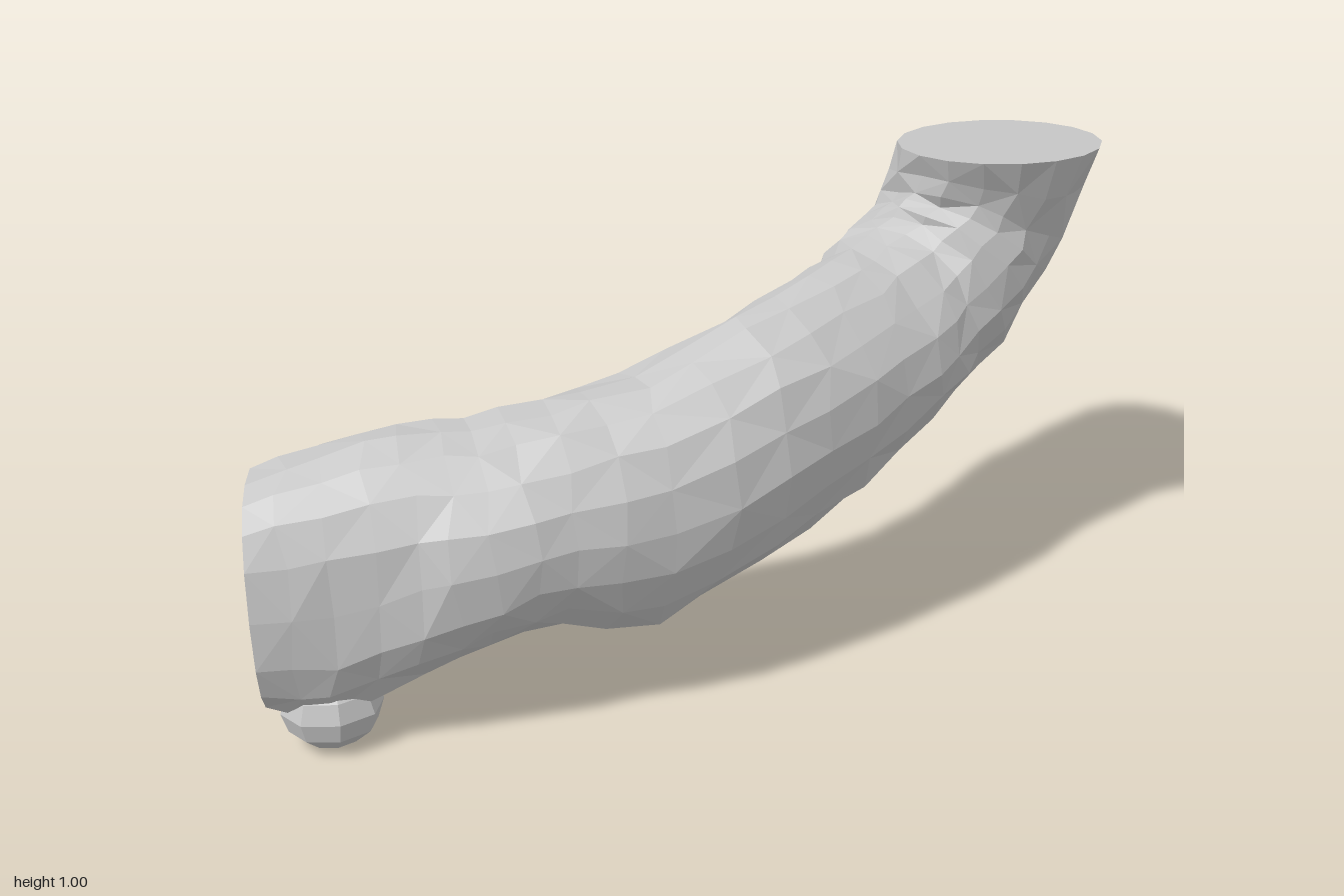
import * as THREE from 'three';

const SIDES = 18;

// Small seeded random numbers for the uneven, carved surface
function makeRandom(seed) {
  return () => {
    seed = (seed * 16807) % 2147483647;
    return seed / 2147483647 - 0.5;
  };
}

// Four rails along the limb; matching points form one cross-section
const topRail = [
  [-0.96, 0.53, 0.13], [-0.83, 0.58, 0.16], [-0.68, 0.61, 0.18], [-0.55, 0.61, 0.2],
  [-0.4, 0.63, 0.21], [-0.22, 0.66, 0.22], [0, 0.75, 0.21], [0.2, 0.79, 0.13],
  [0.35, 0.81, 0.03], [0.43, 0.84, -0.03], [0.48, 0.87, -0.02], [0.51, 0.91, -0.01], [0.49, 0.995, 0.03],
];
const bottomRail = [
  [-0.95, 0.07, 0.14], [-0.83, 0.05, 0.17], [-0.68, 0.11, 0.2], [-0.55, 0.16, 0.2],
  [-0.4, 0.18, 0.21], [-0.22, 0.14, 0.22], [0, 0.24, 0.18], [0.22, 0.31, 0.1],
  [0.42, 0.41, 0], [0.6, 0.48, -0.14], [0.74, 0.56, -0.24], [0.87, 0.76, -0.28], [0.99, 0.955, -0.32],
];
const frontRail = [
  [-1, 0.32, 0.33], [-0.86, 0.32, 0.355], [-0.7, 0.36, 0.39], [-0.56, 0.39, 0.425],
  [-0.4, 0.42, 0.435], [-0.2, 0.42, 0.42], [0.04, 0.48, 0.38], [0.25, 0.54, 0.31],
  [0.44, 0.59, 0.21], [0.57, 0.64, 0.13], [0.68, 0.71, 0.08], [0.76, 0.81, 0.065], [0.81, 0.99, 0.095],
];
const backRail = [
  [-0.91, 0.27, -0.1], [-0.78, 0.28, -0.06], [-0.66, 0.33, -0.025], [-0.54, 0.36, -0.015],
  [-0.4, 0.4, -0.01], [-0.22, 0.42, -0.01], [-0.02, 0.49, -0.01], [0.14, 0.56, -0.05],
  [0.28, 0.62, -0.13], [0.39, 0.67, -0.22], [0.5, 0.72, -0.305], [0.58, 0.8, -0.345], [0.67, 0.96, -0.385],
];

function makeRings() {
  const random = makeRandom(41);
  const rails = [frontRail, topRail, backRail, bottomRail].map(
    (rail) => new THREE.CatmullRomCurve3(rail.map((p) => new THREE.Vector3(...p)), false, 'catmullrom', 0.5));
  const steps = (topRail.length - 1) * 2;
  const rings = [];
  for (let i = 0; i <= steps; i++) {
    const [front, top, back, bottom] = rails.map((r) => r.getPoint(i / steps));
    const frontMid = front.clone().add(back).multiplyScalar(0.5);
    const upMid = top.clone().add(bottom).multiplyScalar(0.5);
    const centre = frontMid.add(upMid).multiplyScalar(0.5);
    // The cut end is squarer than the rest
    const power = Math.min(1, 0.78 + i * 0.03);
    const rough = i === 0 || i === steps ? 0 : 0.013;
    const ring = [];
    for (let k = 0; k < SIDES; k++) {
      const a = (k / SIDES) * Math.PI * 2;
      const c = Math.cos(a), s = Math.sin(a);
      const point = centre.clone();
      point.addScaledVector((c > 0 ? front : back).clone().sub(centre), Math.abs(c) ** power);
      point.addScaledVector((s > 0 ? top : bottom).clone().sub(centre), Math.abs(s) ** power);
      point.x += random() * rough * 2;
      point.y += random() * rough;
      point.z += random() * rough;
      ring.push(point);
    }
    rings.push(ring);
  }
  return rings;
}

// Separate triangles keep every facet flat
function facetGeometry(points) {
  const geometry = new THREE.BufferGeometry().setFromPoints(points);
  geometry.computeVertexNormals();
  return geometry;
}

function barkGeometry(rings) {
  const points = [];
  for (let i = 0; i < rings.length - 1; i++) {
    for (let k = 0; k < SIDES; k++) {
      const n = (k + 1) % SIDES;
      const a = rings[i][k], b = rings[i + 1][k], c = rings[i + 1][n], d = rings[i][n];
      if ((i + k) % 2) points.push(a, b, c, a, c, d);
      else points.push(a, b, d, b, c, d);
    }
  }
  return facetGeometry(points);
}

function capGeometry(ring, reverse) {
  const centre = new THREE.Vector3();
  ring.forEach((p) => centre.addScaledVector(p, 1 / ring.length));
  const points = [];
  ring.forEach((p, k) => {
    const next = ring[(k + 1) % ring.length];
    points.push(centre, ...(reverse ? [next, p] : [p, next]));
  });
  return facetGeometry(points);
}

export function createModel() {
  const group = new THREE.Group();
  group.name = 'bentLimb';
  const grey = new THREE.MeshStandardMaterial({ color: 0xc8c8c8 });
  grey.name = 'light grey';

  const add = (name, geometry) => {
    const mesh = new THREE.Mesh(geometry, grey);
    mesh.name = name;
    group.add(mesh);
    return mesh;
  };

  // Curving body with its two flat cut ends
  const rings = makeRings();
  add('limbBody', barkGeometry(rings));
  add('lowerCutEnd', capGeometry(rings[0], false));
  add('upperCutEnd', capGeometry(rings[rings.length - 1], true));

  // Small knob under the lower end
  const knobShape = new THREE.SphereGeometry(1, 8, 6).toNonIndexed();
  knobShape.scale(0.1, 0.08, 0.085);
  knobShape.computeVertexNormals();
  add('lowerKnob', knobShape).position.set(-0.85, 0.08, 0.245);

  return group;
}
